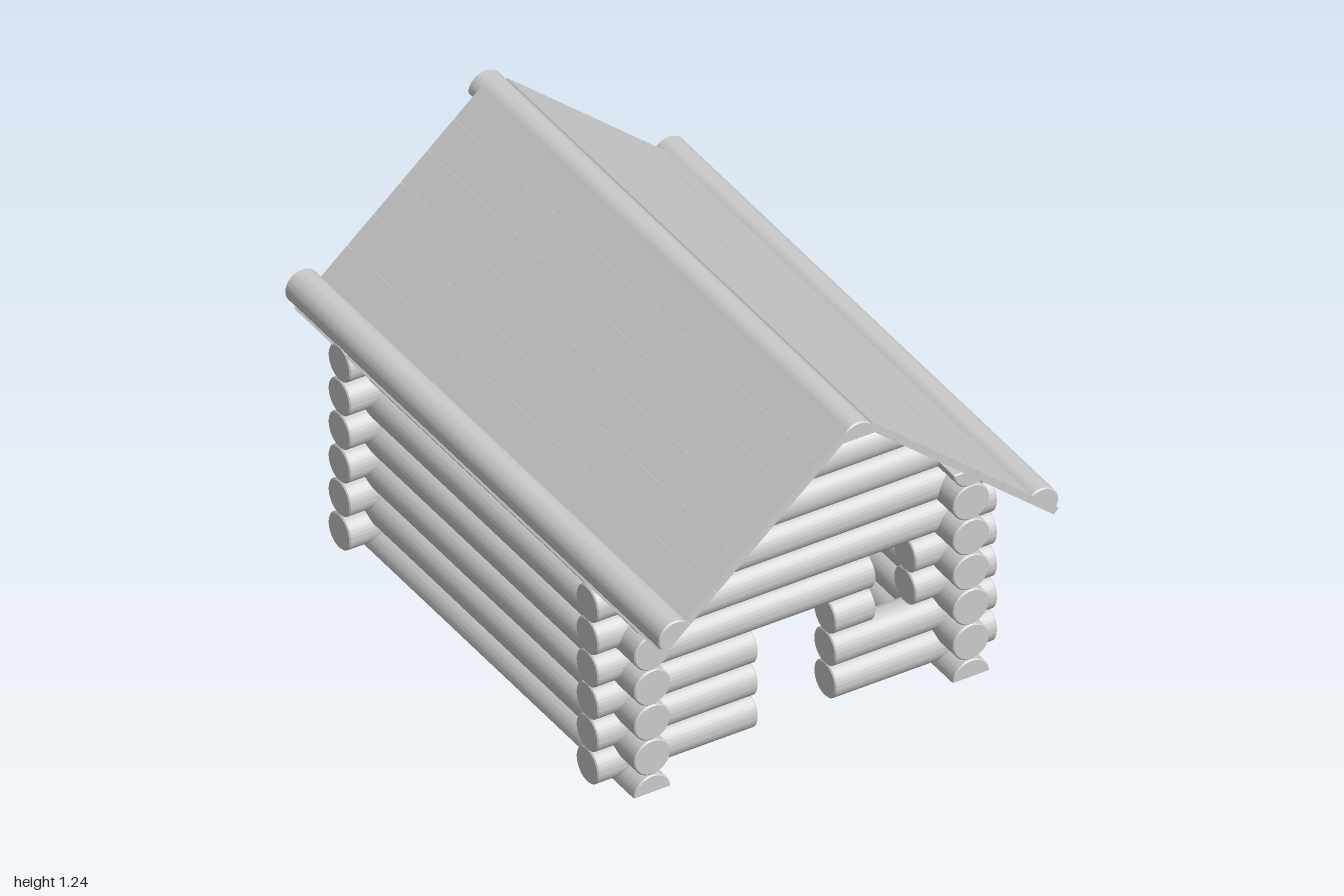
import * as THREE from 'three';
import { toCreasedNormals } from 'three/addons/utils/BufferGeometryUtils.js';

const material = new THREE.MeshStandardMaterial({ color: 0xcccccc });
const R = 0.0585;               // wall log radius
const END_X = 0.662;            // half length of the cross logs
const SLOPE = 0.861;            // roof rise per unit of run
const PITCH = Math.atan(SLOPE);

export function createModel() {
  const model = new THREE.Group();

  function add(parent, name, geometry) {
    const mesh = new THREE.Mesh(geometry, material);
    mesh.name = name;
    parent.add(mesh);
    return mesh;
  }

  function section(name) {
    const group = new THREE.Group();
    group.name = name;
    model.add(group);
    return group;
  }

  // Log with slightly eased ends, running along z; sweep PI gives a split log
  function logGeometry(radius, length, start = 0, sweep = Math.PI * 2) {
    const bevel = 0.004;
    const shape = new THREE.Shape();
    shape.absarc(0, 0, radius, start, start + sweep, false);
    const geometry = new THREE.ExtrudeGeometry(shape, {
      depth: length - 2 * bevel, curveSegments: sweep > 4 ? 32 : 16,
      bevelSize: bevel, bevelThickness: bevel, bevelOffset: -bevel, bevelSegments: 1,
    });
    geometry.translate(0, 0, bevel - length / 2);
    return toCreasedNormals(geometry, 0.5);
  }

  function logZ(parent, name, x, y, z0, z1, radius, start, sweep) {
    add(parent, name, logGeometry(radius, z1 - z0, start, sweep)).position.set(x, y, (z0 + z1) / 2);
  }

  function logX(parent, name, x0, x1, y, z) {
    const mesh = add(parent, name, logGeometry(R, x1 - x0));
    mesh.rotation.y = Math.PI / 2;
    mesh.position.set((x0 + x1) / 2, y, z);
  }

  // Gable log whose ends are cut along the underside of the roof
  function gableLog(parent, y, z) {
    const geometry = new THREE.CylinderGeometry(R, R, 2, 32);
    geometry.rotateZ(Math.PI / 2);
    const p = geometry.attributes.position;
    for (let i = 0; i < p.count; i++) {
      const h = Math.min(p.getY(i) + y, 1.185);
      p.setXYZ(i, Math.sign(p.getX(i)) * (0.645 - (h - 0.671) / SLOPE), h, p.getZ(i) + z);
    }
    add(parent, 'gableLog', toCreasedNormals(geometry, 0.6));
  }

  // Front wall: rows split around the doorway and the small window
  const front = section('frontWall');
  const doorL = -0.13, doorR = 0.125, winL = 0.26, winR = 0.39;
  const rows = [
    [[-END_X, doorL], [doorR, END_X]],
    [[-END_X, doorL], [doorR, END_X]],
    [[-END_X, doorL], [doorR, winL], [winR, END_X]],
    [[-END_X, winL], [winR, END_X]],
    [[-END_X, END_X]],
    [[-END_X, END_X]],
  ];
  rows.forEach((pieces, k) => {
    for (const [x0, x1] of pieces) logX(front, 'frontLog', x0, x1, 0.064 + 0.112 * k, 0.615);
  });
  for (let k = 6; k <= 10; k++) gableLog(front, 0.064 + 0.112 * k, 0.615);

  // Back wall: unbroken rows and gable
  const back = section('backWall');
  for (let k = 0; k < 6; k++) logX(back, 'backLog', -END_X, END_X, 0.064 + 0.1165 * k, -0.71);
  for (let k = 6; k < 10; k++) gableLog(back, 0.064 + 0.1165 * k, -0.71);

  // Side walls: split sill, five round logs, split top plate
  for (const side of [-1, 1]) {
    const wall = section(side > 0 ? 'leftWall' : 'rightWall');
    const x = side * 0.528;
    logZ(wall, 'sillLog', x, 0, -0.845, 0.75, 0.06, 0, Math.PI);
    for (let k = 0; k < 5; k++) logZ(wall, 'sideLog', x, 0.122 + 0.121 * k, -0.845, 0.75, 0.06);
    logZ(wall, 'topPlate', x, 0.72, -0.845, 0.75, 0.058, Math.PI, Math.PI);
  }

  // Roof: seven boards per slope, weighted by a split log at each eave
  const roof = section('roof');
  const step = 0.0885, thick = 0.024;
  for (const side of [-1, 1]) {
    for (let k = 0; k < 7; k++) {
      const run = 0.043 + step * (k + 0.5);
      const board = add(roof, 'roofBoard',
        new THREE.BoxGeometry(step / Math.cos(PITCH) - 0.002, thick, 1.95));
      board.rotation.z = -side * PITCH;
      board.position.set(
        side * (run - Math.sin(PITCH) * thick / 2),
        1.26 - SLOPE * run - Math.cos(PITCH) * thick / 2, 0.025);
    }
    logZ(roof, 'eaveLog', side * 0.607, 0.721, -1, 1, 0.055,
      side > 0 ? -PITCH : PITCH, Math.PI);
  }
  logZ(roof, 'ridgeLog', 0, 1.18, -1, 1, 0.056, 0, Math.PI);

  return model;
}
